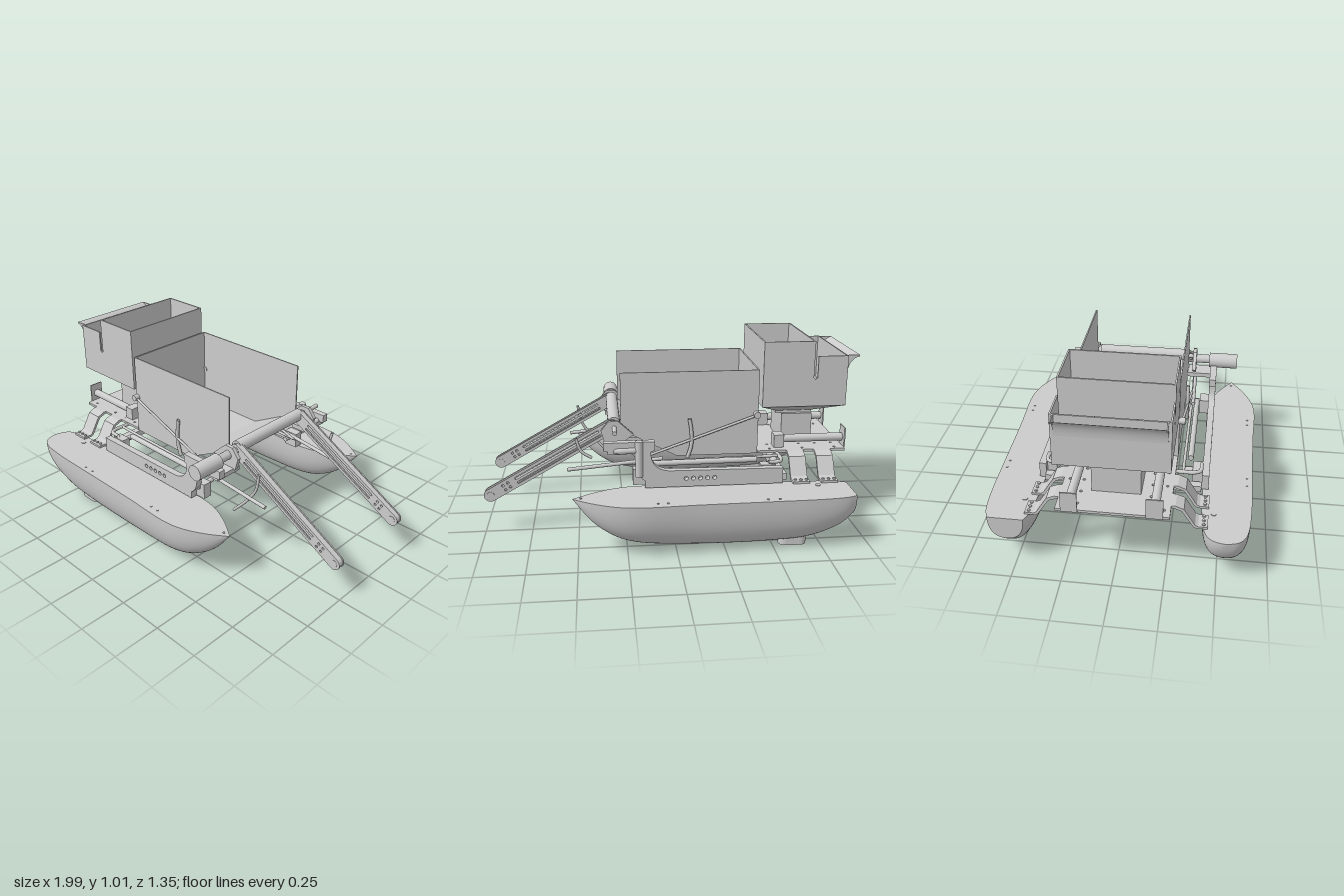
import * as THREE from 'three';
import { toCreasedNormals } from 'three/addons/utils/BufferGeometryUtils.js';

const mat = new THREE.MeshStandardMaterial({ color: 0xcccccc, side: THREE.DoubleSide });
const V = (x, y, z) => new THREE.Vector3(x, y, z);

export function createModel() {
  const root = new THREE.Group();

  // --- helpers ---
  const add = (name, geo, parent = root) => {
    const m = new THREE.Mesh(geo, mat);
    m.name = name;
    parent.add(m);
    return m;
  };
  // box given by its minimum and maximum corners
  const box = (name, x0, x1, y0, y1, z0, z1, parent) => {
    const g = new THREE.BoxGeometry(x1 - x0, y1 - y0, Math.abs(z1 - z0));
    return add(name, g.translate((x0 + x1) / 2, (y0 + y1) / 2, (z0 + z1) / 2), parent);
  };
  // straight rod between two points
  const rod = (name, a, b, r, sides = 20, parent = root) => {
    const d = b.clone().sub(a);
    const m = add(name, new THREE.CylinderGeometry(r, r, d.length(), sides), parent);
    m.position.copy(a).add(b).multiplyScalar(0.5);
    m.quaternion.setFromUnitVectors(V(0, 1, 0), d.normalize());
    return m;
  };
  const tube = (name, pts, r) =>
    add(name, new THREE.TubeGeometry(new THREE.CatmullRomCurve3(pts), 32, r, 10));
  const shape = pts => new THREE.Shape(pts.map(p => new THREE.Vector2(...p)));
  const circle = (x, y, r) => new THREE.Path().absarc(x, y, r, 0, Math.PI * 2, true);
  // stadium outline lying along x
  const stadium = (x0, x1, y, r, Type = THREE.Shape) => new Type()
    .absarc(x1, y, r, -Math.PI / 2, Math.PI / 2, false)
    .absarc(x0, y, r, Math.PI / 2, Math.PI * 1.5, false);
  // flat plate in the xy plane, centred on z
  const plate = (name, s, z, t, parent) => add(name, new THREE.ExtrudeGeometry(s,
    { depth: t, bevelEnabled: false, curveSegments: 12 }).translate(0, 0, z - t / 2), parent);
  // skin between successive cross-sections
  const loft = rings => {
    const n = rings[0].length, index = [];
    for (let i = 0; i < rings.length - 1; i++) for (let j = 0; j < n - 1; j++) {
      const a = i * n + j, b = a + n;
      index.push(a, b, a + 1, b, b + 1, a + 1);
    }
    const g = new THREE.BufferGeometry().setFromPoints(rings.flat());
    g.setIndex(index);
    g.computeVertexNormals();
    return g;
  };

  // --- floats: stations of x, half width, keel height ---
  const stations = [[-0.955, 0.015, 0.275], [-0.94, 0.06, 0.22], [-0.91, 0.09, 0.165], [-0.85, 0.11, 0.11],
    [-0.7, 0.123, 0.05], [-0.5, 0.126, 0.03], [-0.1, 0.131, 0.03], [0.2, 0.139, 0.055],
    [0.31, 0.118, 0.09], [0.42, 0.068, 0.165], [0.52, 0.002, 0.288]];
  const deckY = 0.29;
  for (const s of [1, -1]) {
    const path = new THREE.CatmullRomCurve3((s > 0 ? stations : stations.slice(2)).map(p => V(...p)));
    const st = path.getPoints(60);
    const zc = s * 0.532, N = 28;
    const ring = (x, w, d) => Array.from({ length: N + 1 }, (_, j) => {
      const c = Math.cos(j / N * Math.PI), q = Math.sin(j / N * Math.PI);
      return V(x, deckY - d * Math.pow(Math.abs(q), 0.85), zc + w * Math.sign(c) * Math.pow(Math.abs(c), 0.85));
    });
    const rings = st.map(p => ring(p.x, Math.max(p.y, 0.001), Math.max(deckY - p.z, 0.002)));
    rings.unshift(ring(st[0].x, 0, 0));
    add('floatHull', toCreasedNormals(loft(rings), 0.7));
    add('floatDeck', loft(st.map(p => [V(p.x, deckY, zc - p.y), V(p.x, deckY, zc + p.y)])));
    // skid under the float and deck fittings
    const foot = plate('floatFoot', stadium(-0.645, -0.57, 0, 0.035), 0, 0.045);
    foot.rotation.x = Math.PI / 2;
    foot.position.set(0, 0.0225, zc);
    for (const [x, z, r] of [[-0.75, 0.47, 0.014], [-0.51, 0.63, 0.006], [-0.45, 0.63, 0.006],
      [0.05, 0.63, 0.006], [0.1, 0.63, 0.006], [0.48, 0.53, 0.006]])
      rod('deckFitting', V(x, deckY - 0.005, s * z), V(x, deckY + 0.004, s * z), r, 14);
  }

  // --- rear platform and its sheet brackets ---
  const deck = shape([[-0.95, -0.27], [-0.47, -0.27], [-0.47, 0.27], [-0.95, 0.27]]);
  for (let i = 0; i < 5; i++) for (const z of [-0.24, -0.17, 0.17, 0.24])
    deck.holes.push(circle(-0.9 + i * 0.09, z, 0.007));
  const platform = plate('rearPlatform', deck, 0, 0.014);
  platform.rotation.x = Math.PI / 2;
  platform.position.y = 0.41;
  for (const s of [1, -1]) for (const x of [-0.865, -0.715]) {
    const prof = shape([[0.2, 0.417], [0.29, 0.417], [0.33, 0.4], [0.385, 0.31], [0.4, 0.302], [0.445, 0.302],
      [0.445, 0.29], [0.39, 0.29], [0.375, 0.3], [0.32, 0.388], [0.28, 0.403], [0.2, 0.403]]);
    const g = new THREE.ExtrudeGeometry(prof, { depth: 0.09, bevelEnabled: false });
    g.rotateY(-Math.PI / 2).translate(x + 0.09, 0, 0);
    if (s < 0) g.rotateY(Math.PI).translate(2 * x + 0.09, 0, 0);
    add('floatBracket', g);
    for (const dx of [0.015, 0.045, 0.075])
      rod('bracketBolt', V(x + dx, 0.3, s * 0.425), V(x + dx, 0.31, s * 0.425), 0.008, 6);
  }

  // --- drive gear on the platform ---
  for (const s of [1, -1]) {
    rod('driveMotor', V(-0.95, 0.46, s * 0.2), V(-0.6, 0.46, s * 0.2), 0.022);
    box('motorMount', -0.62, -0.565, 0.42, 0.49, s * 0.2 - 0.035, s * 0.2 + 0.035);
    box('motorEndPlate', -0.96, -0.953, 0.41, 0.52, s * 0.2 - 0.04, s * 0.2 + 0.04);
  }
  box('hopperPost', -0.8, -0.63, 0.417, 0.575, -0.12, 0.12);
  box('hopperPostCap', -0.8, -0.6, 0.575, 0.6, -0.1, 0.1);

  // --- hopper: sides, cross walls, funnel and spout ---
  const cheek = shape([[-0.935, 0.66], [-0.485, 0.66], [-0.485, 1.01], [-0.755, 1.01], [-0.755, 0.815],
    [-0.765, 0.806], [-0.775, 0.815], [-0.775, 0.93], [-0.935, 0.93]]);
  for (const s of [1, -1]) plate('hopperSide', cheek, s * 0.266, 0.008);
  for (const [x, y0, y1] of [[-0.489, 0.66, 1.01], [-0.751, 0.66, 1.01], [-0.931, 0.66, 0.93], [-0.779, 0.66, 0.81]])
    box('hopperWall', x - 0.004, x + 0.004, y0, y1, -0.266, 0.266);
  box('hopperFloor', -0.755, -0.485, 0.66, 0.668, -0.266, 0.266);
  const rect = (x0, x1, y, w) => [V(x0, y, -w), V(x1, y, -w), V(x1, y, w), V(x0, y, w), V(x0, y, -w)];
  add('hopperFunnel', toCreasedNormals(loft([rect(-0.935, -0.485, 0.66, 0.27), rect(-0.8, -0.6, 0.592, 0.11)]), 0.3));
  for (const z of [-0.1, 0.1]) rod('hopperKnob', V(-0.785, 0.8, z), V(-0.785, 0.83, z), 0.01);
  const lip = new THREE.Shape();
  lip.moveTo(-0.935, 0.82).quadraticCurveTo(-0.94, 0.91, -1, 0.922);
  lip.lineTo(-1, 0.93).lineTo(-0.935, 0.93);
  for (const s of [1, -1]) plate('spoutCheek', lip, s * 0.252, 0.006);
  const arc = new THREE.QuadraticBezierCurve(new THREE.Vector2(-0.935, 0.82),
    new THREE.Vector2(-0.94, 0.91), new THREE.Vector2(-1, 0.93)).getPoints(14);
  add('spoutLip', loft(arc.map(p => [V(p.x, p.y, -0.255), V(p.x, p.y, 0.255)])));

  // --- open collecting bin with a sloped ramp floor ---
  const side = shape([[-0.465, 0.405], [-0.03, 0.405], [0.265, 0.56], [0.265, 0.865], [-0.465, 0.865]]);
  for (const s of [1, -1]) plate('binSide', side, s * 0.268, 0.007);
  box('binEndWall', -0.465, -0.457, 0.405, 0.865, -0.267, 0.267);
  plate('binFloor', shape([[-0.465, 0.405], [-0.03, 0.405], [0.265, 0.56], [0.265, 0.575], [-0.035, 0.417],
    [-0.465, 0.417]]), 0, 0.534);
  box('binDrain', -0.06, 0, 0.37, 0.405, -0.02, 0.02);

  // --- cross members and front roller ---
  box('rearCrossBeam', -0.6, -0.56, 0.298, 0.332, -0.4, 0.4);
  rod('frontRoller', V(0.3, 0.59, -0.25), V(0.3, 0.59, 0.25), 0.033, 28);
  rod('rollerShaft', V(0.3, 0.585, -0.41), V(0.3, 0.585, 0.42), 0.012);
  rod('rollerMotor', V(0.3, 0.565, 0.39), V(0.3, 0.565, 0.55), 0.042, 28);
  rod('rollerGearbox', V(0.3, 0.57, 0.3), V(0.3, 0.57, 0.39), 0.024, 24);
  tube('framePipe', [V(0.32, 0.5, -0.28), V(0.32, 0.5, -0.39), V(0.29, 0.5, -0.43), V(0.17, 0.5, -0.43)], 0.016);

  // --- side frames, linkages and conveyor arms ---
  for (const s of [1, -1]) {
    const frame = new THREE.Shape();
    frame.moveTo(-0.57, 0.295).lineTo(0.15, 0.295).lineTo(0.15, 0.335);
    frame.quadraticCurveTo(0.195, 0.36, 0.195, 0.44).quadraticCurveTo(0.2, 0.49, 0.25, 0.49);
    frame.lineTo(0.36, 0.5).lineTo(0.36, 0.545).lineTo(0.1, 0.545).lineTo(0.1, 0.5).lineTo(0.12, 0.49);
    frame.quadraticCurveTo(0.12, 0.39, 0.02, 0.385).lineTo(-0.57, 0.38);
    for (let i = 0; i < 5; i++) frame.holes.push(circle(-0.21 + i * 0.037, 0.34, 0.011));
    plate('sideFrame', frame, s * 0.418, 0.036);
    for (const x of [-0.54, 0.13]) {
      box('frameClevis', x, x + 0.08, 0.3, 0.385, s * 0.35, s * 0.4);
      rod('clevisPin', V(x + 0.04, 0.36, s * 0.3), V(x + 0.04, 0.36, s * 0.41), 0.014);
    }
    rod('actuator', V(-0.45, 0.395, s * 0.335), V(0.12, 0.39, s * 0.335), 0.015);
    rod('slideRail', V(-0.58, 0.4, s * 0.305), V(0.24, 0.385, s * 0.305), 0.008);
    rod('pushRod', V(0.05, 0.41, s * 0.315), V(0.55, 0.36, s * 0.305), 0.01);
    rod('diagonalLink', V(-0.46, 0.625, s * 0.285), V(0.23, 0.385, s * 0.3), 0.007);
    rod('linkPivot', V(-0.455, 0.625, s * 0.26), V(-0.455, 0.625, s * 0.3), 0.018);
    tube('hookLever', [V(-0.085, 0.4, s * 0.29), V(-0.105, 0.47, s * 0.29), V(-0.105, 0.55, s * 0.29),
      V(-0.095, 0.615, s * 0.29)], 0.01);
    tube('rearPipe', [V(-0.5, 0.4, s * 0.395), V(-0.56, 0.4, s * 0.39), V(-0.575, 0.4, s * 0.36),
      V(-0.575, 0.4, s * 0.26)], 0.01);
    plate('rollerHanger', shape([[0.265, 0.5], [0.35, 0.5], [0.37, 0.57], [0.33, 0.62], [0.28, 0.62], [0.2, 0.545]]),
      s * 0.305, 0.02);
    box('hangerBridge', 0.24, 0.34, 0.48, 0.505, s * 0.27, s * 0.43);
    if (s < 0) rod('frameElbow', V(0.18, 0.36, -0.435), V(0.18, 0.55, -0.435), 0.02);
    if (s > 0) tube('curvedGuide', [V(0.5, 0.53, 0.3), V(0.48, 0.43, 0.3), V(0.42, 0.34, 0.3), V(0.33, 0.24, 0.3)], 0.008);
    else tube('curvedGuide', [V(0.5, 0.53, -0.3), V(0.475, 0.46, -0.3), V(0.42, 0.42, -0.3)], 0.008);

    const arm = new THREE.Group();
    arm.name = 'conveyorArm';
    arm.position.set(0.31, 0.58, s * 0.25);
    arm.rotation.z = Math.atan2(-0.365, 0.65);
    root.add(arm);
    const len = 0.745;
    const face = stadium(0, len, 0, 0.035);
    face.holes.push(stadium(0.08, 0.58, 0.013, 0.006, THREE.Path), stadium(0.08, 0.58, -0.013, 0.006, THREE.Path));
    for (const x of [0.63, 0.66]) face.holes.push(circle(x, 0.013, 0.007), circle(x, -0.013, 0.007));
    for (const z of [-0.016, 0.016]) plate('armCheek', face, z, 0.007, arm);
    const belt = stadium(0, len, 0, 0.032);
    belt.holes.push(stadium(0, len, 0, 0.025, THREE.Path));
    plate('armBelt', belt, 0, 0.026, arm);
    box('armSpine', 0.05, 0.68, -0.006, 0.006, -0.014, 0.014, arm);
    for (const x of [0, len]) rod('armPulley', V(x, 0, -0.021), V(x, 0, 0.021), 0.02, 24, arm);
  }
  return root;
}
